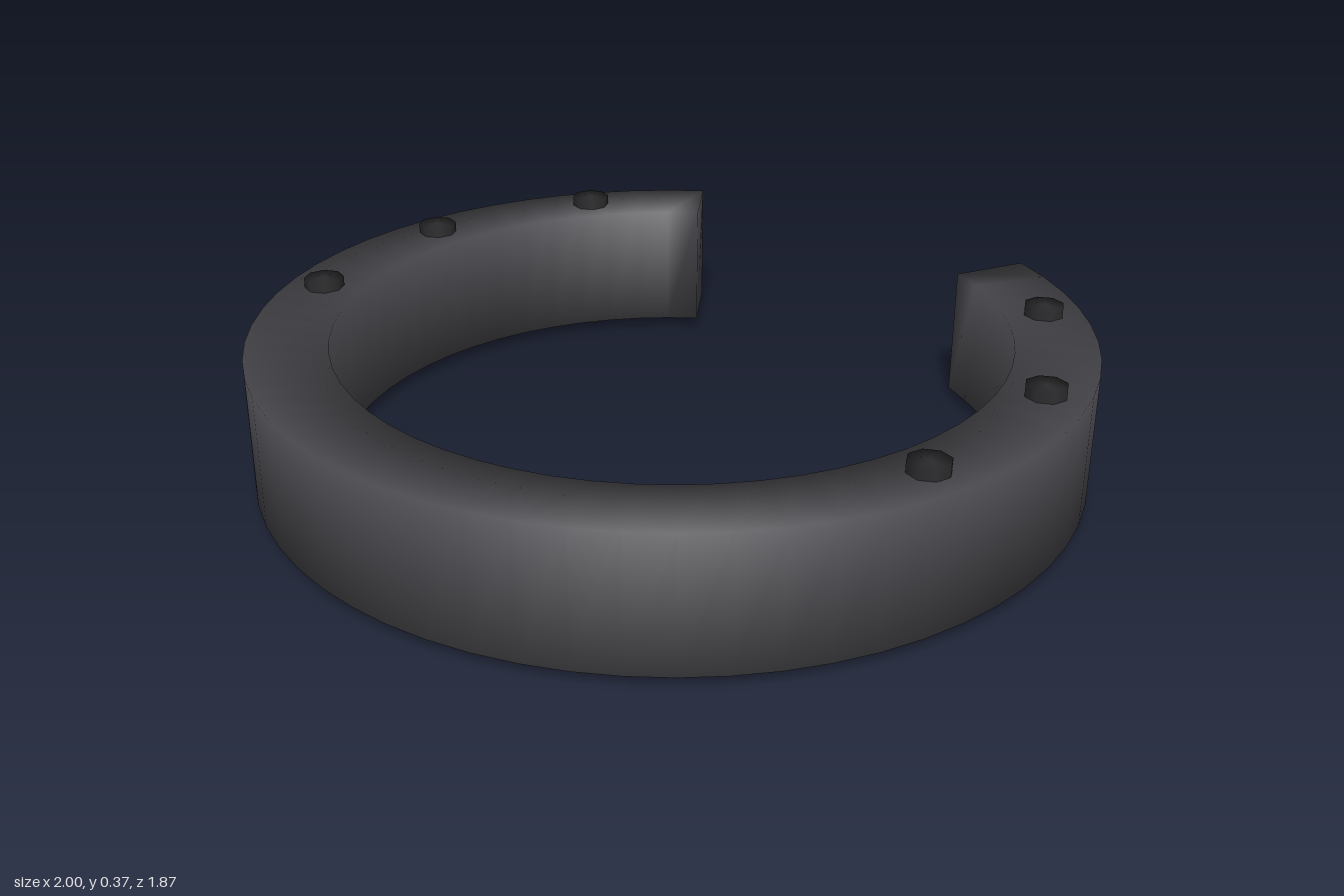
import * as THREE from 'three';
import { mergeVertices } from 'three/addons/utils/BufferGeometryUtils.js';

const CENTRE_Z = -0.067;
const INNER = 0.805, OUTER = 1;
const MID = (INNER + OUTER) / 2;
const MID_Y = 0.185;

// Share the vertices across edges so the shading runs softly over the corners
function soften(geometry) {
  geometry.deleteAttribute('normal');
  geometry.deleteAttribute('uv');
  const merged = mergeVertices(geometry, 1e-4);
  merged.computeVertexNormals();
  return merged;
}

// A straight bar bent into an open ring of 300 degrees, gap at the back
function openRing() {
  const sweep = THREE.MathUtils.degToRad(300);
  const bar = new THREE.BoxGeometry(sweep, 0.32, OUTER - INNER, 50, 1, 1);
  const p = bar.attributes.position;
  for (let i = 0; i < p.count; i++) {
    const angle = p.getX(i);
    const r = MID + p.getZ(i);
    p.setXYZ(i, r * Math.sin(angle), p.getY(i), r * Math.cos(angle));
  }
  return soften(bar);
}

export function createModel() {
  const bandGrey = new THREE.MeshStandardMaterial({ color: 0x4c4b50 });
  bandGrey.name = 'band grey';
  const studGrey = new THREE.MeshStandardMaterial({ color: 0x2b2b2d });
  studGrey.name = 'stud dark grey';

  const model = new THREE.Group();
  model.name = 'openRing';

  const band = new THREE.Mesh(openRing(), bandGrey);
  band.name = 'band';
  band.position.set(0, MID_Y, CENTRE_Z);
  model.add(band);

  // Eight-sided pins through the band, three on each side
  const pin = soften(new THREE.CylinderGeometry(0.049, 0.049, 0.37, 8));
  for (const side of [1, -1]) {
    [70, 100, 130].forEach((degrees, i) => {
      const a = THREE.MathUtils.degToRad(degrees);
      const stud = new THREE.Mesh(pin, studGrey);
      stud.name = `${side > 0 ? 'left' : 'right'}Stud${i + 1}`;
      stud.position.set(side * MID * Math.sin(a), MID_Y, CENTRE_Z + MID * Math.cos(a));
      model.add(stud);
    });
  }
  return model;
}
